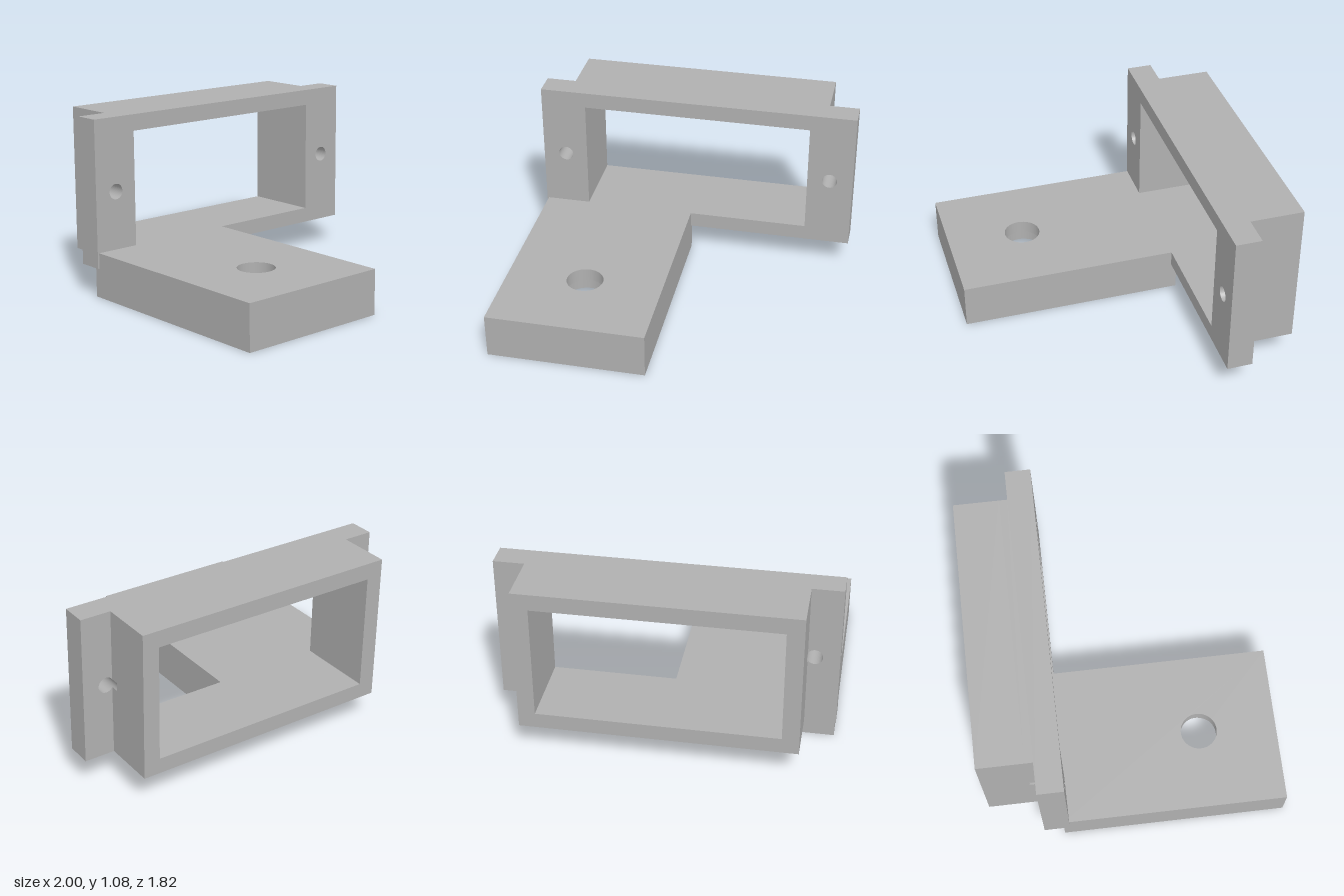
import * as THREE from 'three';

const grey = new THREE.MeshStandardMaterial({ color: 0xb0b0b0 });
grey.name = 'grey';

// Screw holes in the flange
const SCREW = { x: 0.855, y: 0.63, r: 0.047 };

function circle(x, y, r) {
  const p = new THREE.Path();
  p.absarc(x, y, r, 0, Math.PI * 2, true);
  return p;
}

// Frame outline around the window; a notch is where a screw hole grazes the side wall
function frameShape(half, notched) {
  const y0 = 0.18, y1 = 1.08;
  const a = Math.acos((SCREW.x - half) / SCREW.r);
  const s = new THREE.Shape();
  s.moveTo(-half, y0);
  s.lineTo(half, y0);
  if (notched) s.absarc(SCREW.x, SCREW.y, SCREW.r, Math.PI + a, Math.PI - a, true);
  s.lineTo(half, y1);
  s.lineTo(-half, y1);
  if (notched) s.absarc(-SCREW.x, SCREW.y, SCREW.r, a, -a, true);
  s.closePath();

  const w = new THREE.Path();
  w.moveTo(-0.715, 0.275);
  w.lineTo(-0.715, 0.98);
  w.lineTo(0.715, 0.98);
  w.lineTo(0.715, 0.275);
  w.closePath();
  s.holes.push(w);
  return s;
}

function extrude(shape, depth) {
  return new THREE.ExtrudeGeometry(shape, { depth, bevelEnabled: false, curveSegments: 40 });
}

export function createModel() {
  const model = new THREE.Group();
  model.name = 'mountingBracket';

  const add = (name, geometry) => {
    const mesh = new THREE.Mesh(geometry, grey);
    mesh.name = name;
    model.add(mesh);
  };

  // Wide front flange with two screw holes
  const flange = frameShape(1, false);
  for (const side of [-1, 1]) flange.holes.push(circle(side * SCREW.x, SCREW.y, SCREW.r));
  add('flange', extrude(flange, 0.155).translate(0, 0, -0.585));

  // Narrower sleeve behind the flange, its front slice grooved by the screw holes
  add('sleeveFront', extrude(frameShape(0.815, true), 0.05).translate(0, 0, -0.635));
  add('sleeveBack', extrude(frameShape(0.815, false), 0.275).translate(0, 0, -0.91));

  // Base plate in three layers: wide recess below, stepped hole above
  const layers = [
    ['baseRecess', 0, 0.12, 0.35],
    ['baseStep', 0.12, 0.195, 0.134],
    ['baseTop', 0.195, 0.275, 0.112],
  ];
  for (const [name, y0, y1, radius] of layers) {
    const s = new THREE.Shape();
    s.moveTo(-0.99, -0.91);
    s.lineTo(-0.03, -0.91);
    s.lineTo(-0.03, 0.465);
    s.lineTo(-0.99, 0.465);
    s.closePath();
    s.holes.push(circle(-0.51, -0.43, radius));
    add(name, extrude(s, y1 - y0).rotateX(-Math.PI / 2).translate(0, y0, 0));
  }

  return model;
}
